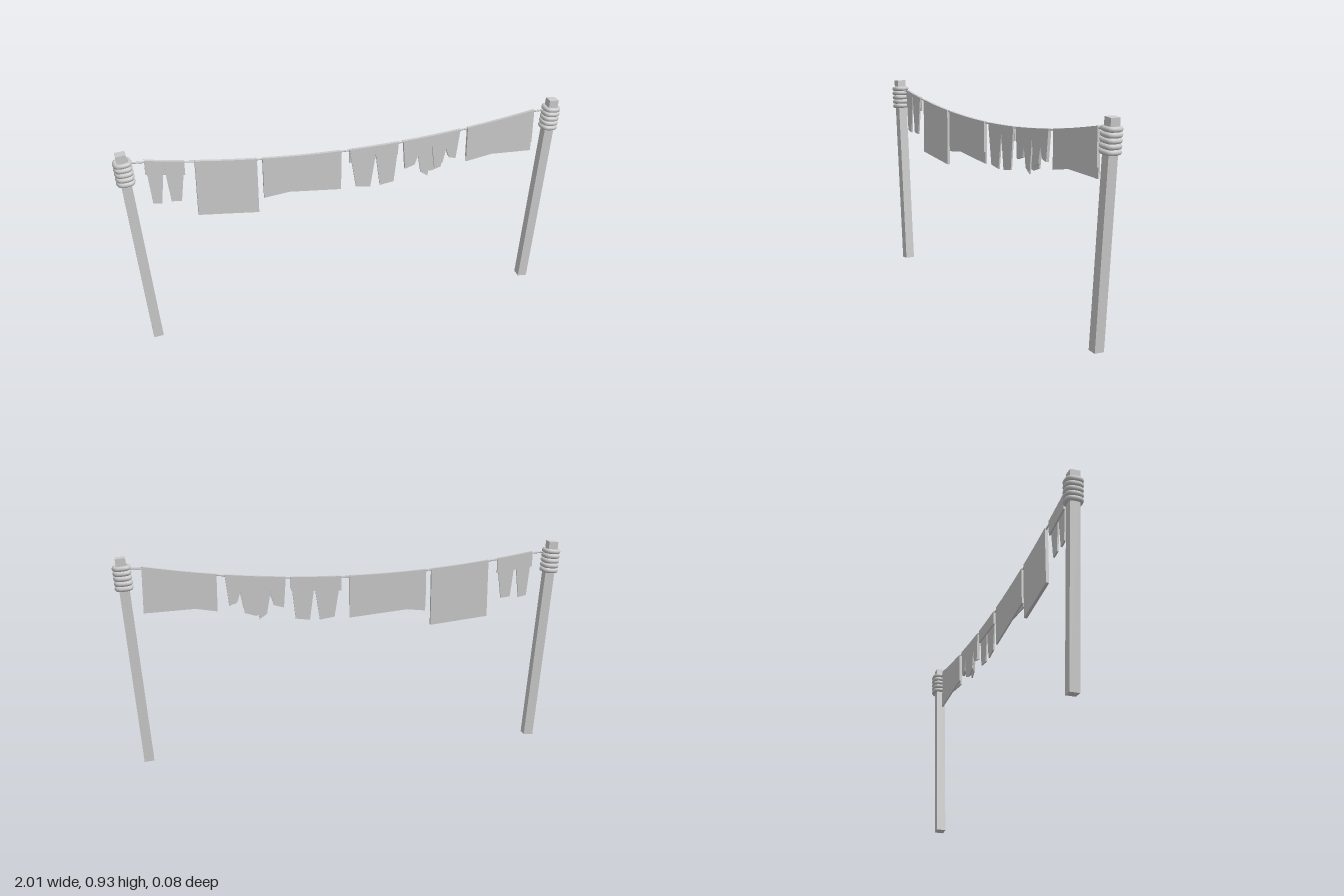
import * as THREE from 'three';

const material = new THREE.MeshStandardMaterial({ color: 0xcccccc, side: THREE.DoubleSide });
const ropeY = (x) => Math.min(0.803 + 0.1 * x * x, 0.88);
const CLOTH = 0.007;

function addMesh(parent, name, geometry) {
  const mesh = new THREE.Mesh(geometry, material);
  mesh.name = name;
  parent.add(mesh);
  return mesh;
}

// Leaning square post with a stack of rope loops near the top; side is -1 or 1
function makePost(side) {
  const post = new THREE.Group();
  post.name = side > 0 ? 'leftPost' : 'rightPost';
  const length = 0.928;
  const beam = new THREE.BoxGeometry(0.043, length, 0.043);
  addMesh(post, 'beam', beam.translate(0, length / 2, 0));

  const a = 0.027, b = 0.018;
  const corners = [[a, -b], [a, b], [b, a], [-b, a], [-a, b], [-a, -b], [-b, -a], [b, -a]];
  const loop = new THREE.CatmullRomCurve3(corners.map(([x, z]) => new THREE.Vector3(x, 0, z)), true);
  const ring = new THREE.TubeGeometry(loop, 24, 0.011, 8, true);
  for (let i = 0; i < 5; i++) addMesh(post, 'ropeLoop', ring).position.y = 0.797 + i * 0.022;

  post.position.set(side * 0.889, 0.002, 0);
  post.rotation.z = -side * 0.085;
  return post;
}

// One hanging layer: the top edge follows the rope, the hem runs from low x to high x
function makeLayer(parent, name, x0, x1, hem, front) {
  const shape = new THREE.Shape();
  const steps = 4;
  for (let i = 0; i <= steps; i++) {
    const x = x1 + ((x0 - x1) * i) / steps;
    if (i === 0) shape.moveTo(x, ropeY(x) + 0.005);
    else shape.lineTo(x, ropeY(x) + 0.005);
  }
  hem.forEach(([x, y]) => shape.lineTo(x, y));
  const geometry = new THREE.ExtrudeGeometry(shape, { depth: CLOTH, bevelEnabled: false });
  addMesh(parent, name, geometry).position.z = front ? 0 : -CLOTH;
}

// Laundry: extent along the rope, then the hems of the front and back layers
const laundry = [
  { name: 'smallTrousers', x0: -0.873, x1: -0.708,
    front: [[-0.853, 0.68], [-0.816, 0.672], [-0.795, 0.857], [-0.775, 0.677], [-0.732, 0.672]],
    back: [[-0.873, 0.815], [-0.708, 0.79]] },
  { name: 'tallSheet', x0: -0.665, x1: -0.4,
    front: [[-0.665, 0.592], [-0.4, 0.563]],
    back: [[-0.665, 0.592], [-0.4, 0.563]] },
  { name: 'wideSheet', x0: -0.375, x1: -0.025,
    front: [[-0.375, 0.63], [-0.025, 0.671]],
    back: [[-0.375, 0.65], [-0.025, 0.616]] },
  { name: 'largeTrousers', x0: 0.012, x1: 0.238,
    front: [[0.042, 0.622], [0.108, 0.612], [0.132, 0.772], [0.153, 0.613], [0.217, 0.622]],
    back: [[0.012, 0.742], [0.238, 0.75]] },
  { name: 'raggedCloth', x0: 0.26, x1: 0.527,
    front: [[0.27, 0.677], [0.315, 0.692], [0.33, 0.735], [0.345, 0.65], [0.378, 0.627], [0.395, 0.775],
      [0.41, 0.665], [0.448, 0.682], [0.463, 0.75], [0.478, 0.705], [0.51, 0.696]],
    back: [[0.27, 0.677], [0.315, 0.69], [0.33, 0.755], [0.345, 0.662], [0.395, 0.645],
      [0.443, 0.66], [0.46, 0.76], [0.475, 0.71], [0.51, 0.696]] },
  { name: 'endSheet', x0: 0.562, x1: 0.88,
    front: [[0.562, 0.672], [0.88, 0.725]],
    back: [[0.562, 0.694], [0.88, 0.68]] },
];

export function createModel() {
  const model = new THREE.Group();
  model.name = 'clothesline';
  model.add(makePost(-1), makePost(1));

  // Sagging rope between the posts
  const points = [];
  for (let i = -8; i <= 8; i++) {
    const x = (0.96 * i) / 8;
    points.push(new THREE.Vector3(x, ropeY(x), 0));
  }
  addMesh(model, 'rope', new THREE.TubeGeometry(new THREE.CatmullRomCurve3(points), 32, 0.004, 6));

  for (const item of laundry) {
    const cloth = new THREE.Group();
    cloth.name = item.name;
    makeLayer(cloth, 'frontLayer', item.x0, item.x1, item.front, true);
    makeLayer(cloth, 'backLayer', item.x0, item.x1, item.back, false);
    model.add(cloth);
  }
  return model;
}
